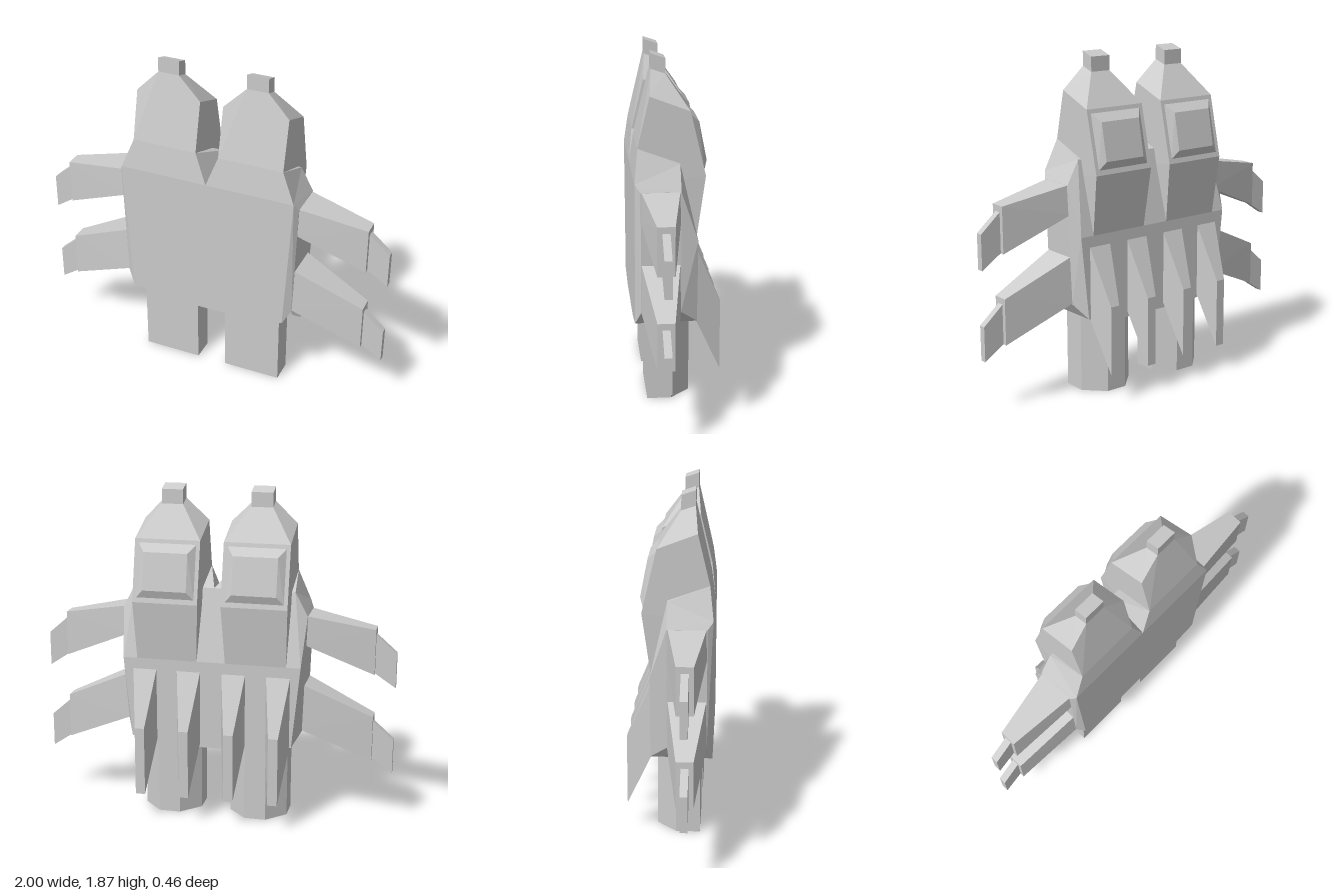
import * as THREE from 'three';
import { ConvexGeometry } from 'three/addons/geometries/ConvexGeometry.js';

const material = new THREE.MeshStandardMaterial({ color: 0xcccccc, flatShading: true });

// Faceted solid around corner points
function solid(name, corners) {
  const mesh = new THREE.Mesh(new ConvexGeometry(corners.map(c => new THREE.Vector3(...c))), material);
  mesh.name = name;
  return mesh;
}

// Corners at two x values for each [y, z] of a side profile
const span = (x0, x1, profile) => profile.flatMap(([y, z]) => [[x0, y, z], [x1, y, z]]);
const wide = (x, profile) => span(-x, x, profile);
const flip = (s, corners) => corners.map(([x, y, z]) => [s * x, y, z]);

// Hollow leg with chamfered back corners, open at the bottom
function makeLeg(s) {
  const outline = (t) => [
    [0.085 + t, 0.165 - t], [0.415 - t, 0.165 - t], [0.415 - t, 0.035 + t * 0.4],
    [0.31 - t * 0.4, -0.07 + t], [0.19 + t * 0.4, -0.07 + t], [0.085 + t, 0.035 + t * 0.4],
  ].map(([x, z]) => new THREE.Vector2(s * x, -z));
  const shape = new THREE.Shape(outline(0));
  shape.holes.push(new THREE.Path(outline(0.02)));
  const geometry = new THREE.ExtrudeGeometry(shape, { depth: 0.45, bevelEnabled: false });
  geometry.rotateX(-Math.PI / 2);
  const leg = new THREE.Mesh(geometry, material);
  leg.name = 'leg';
  return leg;
}

// Tapering arm with a thin slanted hand
function makeArm(s, name, baseTop, baseBottom, tipTop) {
  const arm = new THREE.Group();
  arm.name = name;
  const tipBottom = tipTop - 0.255;
  arm.add(solid('upperArm', flip(s, [
    ...[0.2, -0.01].flatMap(z => [[0.48, baseTop + 0.007, z], [0.5, baseBottom, z]]),
    ...[0.145, 0.055].flatMap(z => [[0.885, tipTop, z], [0.885, tipBottom, z]]),
  ])));
  arm.add(solid('hand', flip(s, [0.12, 0.08].flatMap(z => [
    [0.88, tipTop - 0.03, z], [0.88, tipBottom + 0.005, z],
    [1, tipTop - 0.135, z], [1, tipTop - 0.33, z],
  ]))));
  return arm;
}

// Upper tower: head, cap, raised back panel and sloping shoulder
function makeHead(s) {
  const head = new THREE.Group();
  head.name = s > 0 ? 'leftHead' : 'rightHead';
  head.add(solid('headShell', flip(s, [
    ...span(0.065, 0.43, [[1.2, 0.2], [1.4, 0.21], [1.67, 0.145], [1.59, -0.065], [1.25, -0.145]]),
    ...span(0.08, 0.42, [[0.92, -0.1], [0.92, 0]]),
    ...span(0.19, 0.31, [[1.79, 0.13], [1.765, 0.055]]),
  ])));
  head.add(solid('headCap', flip(s,
    span(0.19, 0.31, [[1.78, 0.13], [1.75, 0.055], [1.87, 0.13], [1.845, 0.055]]))));
  head.add(solid('backPanel', flip(s, [
    ...span(0.085, 0.41, [[1.57, -0.068], [1.275, -0.138]]),
    ...span(0.125, 0.37, [[1.525, -0.115], [1.32, -0.155]]),
  ])));
  head.add(solid('shoulder', flip(s, [
    [0, 1.23, 0.23], [0.5, 1.23, 0.23], [0.065, 1.4, 0.21], [0.43, 1.4, 0.21],
    [0, 1.32, -0.01], [0.45, 1.32, -0.01],
  ])));
  return head;
}

export function createModel() {
  const model = new THREE.Group();
  model.name = 'creature';

  // Flat-fronted torso with faceted sides
  model.add(solid('torso', [
    ...wide(0.5, [[1.23, 0.23], [0.92, -0.1], [0.53, 0.2], [0.53, -0.01]]),
    ...wide(0.52, [[1.19, 0.2], [1.19, -0.01]]),
    ...wide(0.45, [[1.32, -0.01]]),
    ...wide(0.455, [[0.455, 0.23], [0.46, -0.1]]),
    ...wide(0.26, [[0.42, 0.23], [0.42, -0.1]]),
  ]));

  for (const s of [1, -1]) {
    model.add(makeHead(s), makeLeg(s));
    model.add(makeArm(s, 'topArm', 1.19, 1.03, 1.12));
    model.add(makeArm(s, 'lowerArm', 0.8, 0.535, 0.62));

    // Downward fins across the back
    for (const x of [0.127, 0.377]) {
      model.add(solid('backFin', flip(s, [
        ...span(x - 0.068, x + 0.068, [[0.87, -0.095], [0.46, -0.095]]),
        ...span(x - 0.027, x + 0.027, [[0.55, -0.23], [0.16, -0.23]]),
      ])));
    }
  }
  return model;
}
